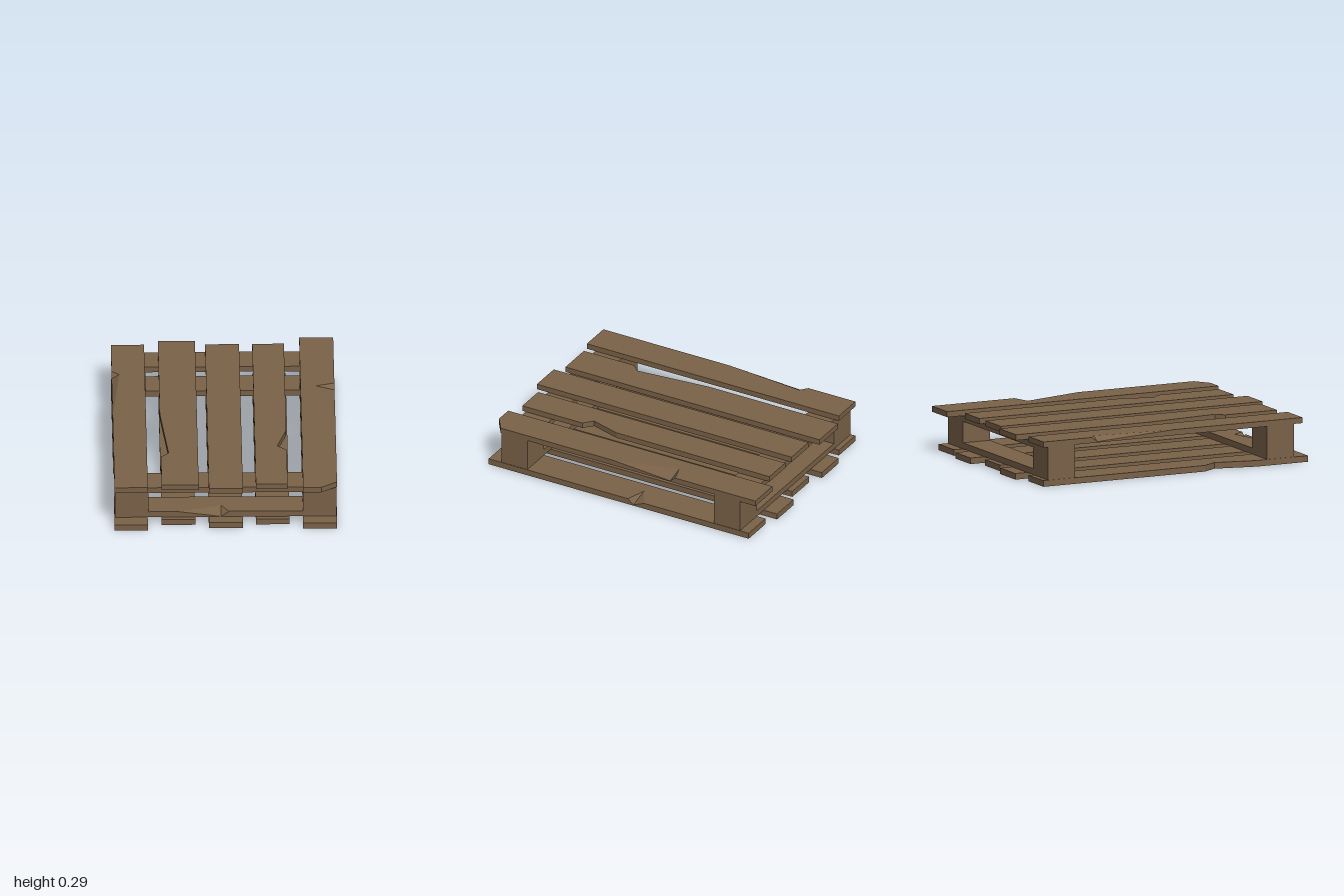
import * as THREE from 'three';

const wood = new THREE.MeshStandardMaterial({ color: 0x7a6248 });
wood.name = 'weathered wood';

// Plank lying flat: outline in [x, z], from height y0 to y1
function plank(outline, y0, y1) {
  const shape = new THREE.Shape(outline.map(([x, z]) => new THREE.Vector2(x, -z)));
  const geo = new THREE.ExtrudeGeometry(shape, { depth: y1 - y0, bevelEnabled: false });
  return geo.rotateX(-Math.PI / 2).translate(0, y0, 0);
}

const rect = (x0, x1, z0, z1) => [[x0, z1], [x1, z1], [x1, z0], [x0, z0]];

function block(x0, x1, y0, y1, z0, z1) {
  return new THREE.BoxGeometry(x1 - x0, y1 - y0, z1 - z0)
    .translate((x0 + x1) / 2, (y0 + y1) / 2, (z0 + z1) / 2);
}

// Beam along x with a wedge splintered off its upper +z edge.
// chip: l and r are its ends, t its deepest point, depth inward, low its lowest height.
// cut: optional [along, across] size of a sawn-off corner at x0, z1.
function chippedBeam([x0, x1], [y0, y1], [z0, z1], { l, t, r, depth, low }, cut) {
  const B = [t, y1, z1 - depth], D = [t, low, z1];
  const L = [l, y1, z1], R = [r, y1, z1];
  const inner = cut ? z1 - cut[1] : z1;
  const front = cut ? x0 + cut[0] : x0;
  const corner = (y) => (cut ? [[front, y, z1], [x0, y, inner]] : [[x0, y, z1]]);
  const faces = [
    [B, R, [x1, y1, z1], [x1, y1, z0], [x0, y1, z0], ...corner(y1).reverse(), L],
    [D, L, [front, y1, z1], [front, y0, z1], [x1, y0, z1], [x1, y1, z1], R],
    [B, L, D],
    [B, D, R],
    [[x0, y0, z0], [x1, y0, z0], [x1, y0, z1], ...corner(y0)],
    [[x0, y0, z0], [x0, y1, z0], [x1, y1, z0], [x1, y0, z0]],
    [[x0, y0, z0], [x0, y0, inner], [x0, y1, inner], [x0, y1, z0]],
    [[x1, y0, z0], [x1, y1, z0], [x1, y1, z1], [x1, y0, z1]],
  ];
  if (cut) faces.push([[x0, y0, inner], [front, y0, z1], [front, y1, z1], [x0, y1, inner]]);

  const pos = [];
  for (const f of faces) {
    for (let i = 1; i < f.length - 1; i++) pos.push(...f[0], ...f[i], ...f[i + 1]);
  }
  const geo = new THREE.BufferGeometry();
  geo.setAttribute('position', new THREE.Float32BufferAttribute(pos, 3));
  geo.computeVertexNormals();
  return geo;
}

export function createModel() {
  const pallet = new THREE.Group();
  pallet.name = 'pallet';
  const add = (name, geo) => {
    const mesh = new THREE.Mesh(geo, wood);
    mesh.name = name;
    pallet.add(mesh);
  };

  const low = [0, 0.04], high = [0.258, 0.295];
  const quarter = Math.PI / 2;

  // Top deck, from the right side to the left side
  add('topBoardRight', chippedBeam([-0.92, 0.96], high, [0.505, 0.72],
    { l: -0.57, t: -0.53, r: 0.02, depth: 0.05, low: 0.264 }).rotateY(-quarter));
  add('topBoardInnerRight', plank([[-0.415, 0.93], [-0.175, 0.93], [-0.175, -0.965],
    [-0.415, -0.965], [-0.415, 0], [-0.365, 0.505], [-0.415, 0.555]], ...high));
  add('topBoardMiddle', plank(rect(-0.11, 0.11, -0.92, 0.98), ...high));
  add('topBoardInnerLeft', plank([[0.195, 0.922], [0.4, 0.922], [0.4, 0.475], [0.34, 0.42],
    [0.4, 0.22], [0.4, -0.922], [0.195, -0.922]], ...high));
  add('topBoardLeft', chippedBeam([-0.97, 1], high, [0.5, 0.72],
    { l: -0.06, t: 0.365, r: 0.4, depth: 0.12, low: 0.264 }, [0.07, 0.1]).rotateY(quarter));

  // Bottom deck
  add('bottomBoardRight', plank([[-0.72, 1], [-0.505, 1], [-0.505, -0.92], [-0.72, -0.92],
    [-0.72, 0.25], [-0.66, 0.35], [-0.72, 0.63]], ...low));
  add('bottomBoardInnerRight', plank(rect(-0.415, -0.197, -0.97, 0.93), ...low));
  add('bottomBoardMiddle', plank(rect(-0.11, 0.11, -0.925, 0.975), ...low));
  add('bottomBoardInnerLeft', plank(rect(0.195, 0.412, -0.985, 0.93), ...low));
  add('bottomBoardLeft', chippedBeam([-0.99, 0.95], low, [0.5, 0.72],
    { l: 0.05, t: 0.09, r: 0.17, depth: 0.14, low: 0.006 }).rotateY(quarter));

  // Corner blocks and the rails between them
  for (const [end, z0, z1] of [['Front', 0.703, 0.897], ['Back', -0.885, -0.69]]) {
    add('block' + end + 'Left', block(0.5, 0.717, 0.04, 0.258, z0, z1));
    add('block' + end + 'Right', block(-0.717, -0.5, 0.04, 0.258, z0, z1));
    add('upperRail' + end, block(-0.5, 0.5, 0.22, 0.258, z0, z1));
  }
  add('lowerRailFront', chippedBeam([-0.5, 0.5], [0.04, 0.08], [0.703, 0.897],
    { l: -0.31, t: -0.03, r: 0.02, depth: 0.08, low: 0.042 }));
  add('lowerRailBack', block(-0.5, 0.5, 0.04, 0.08, -0.885, -0.69));

  return pallet;
}
